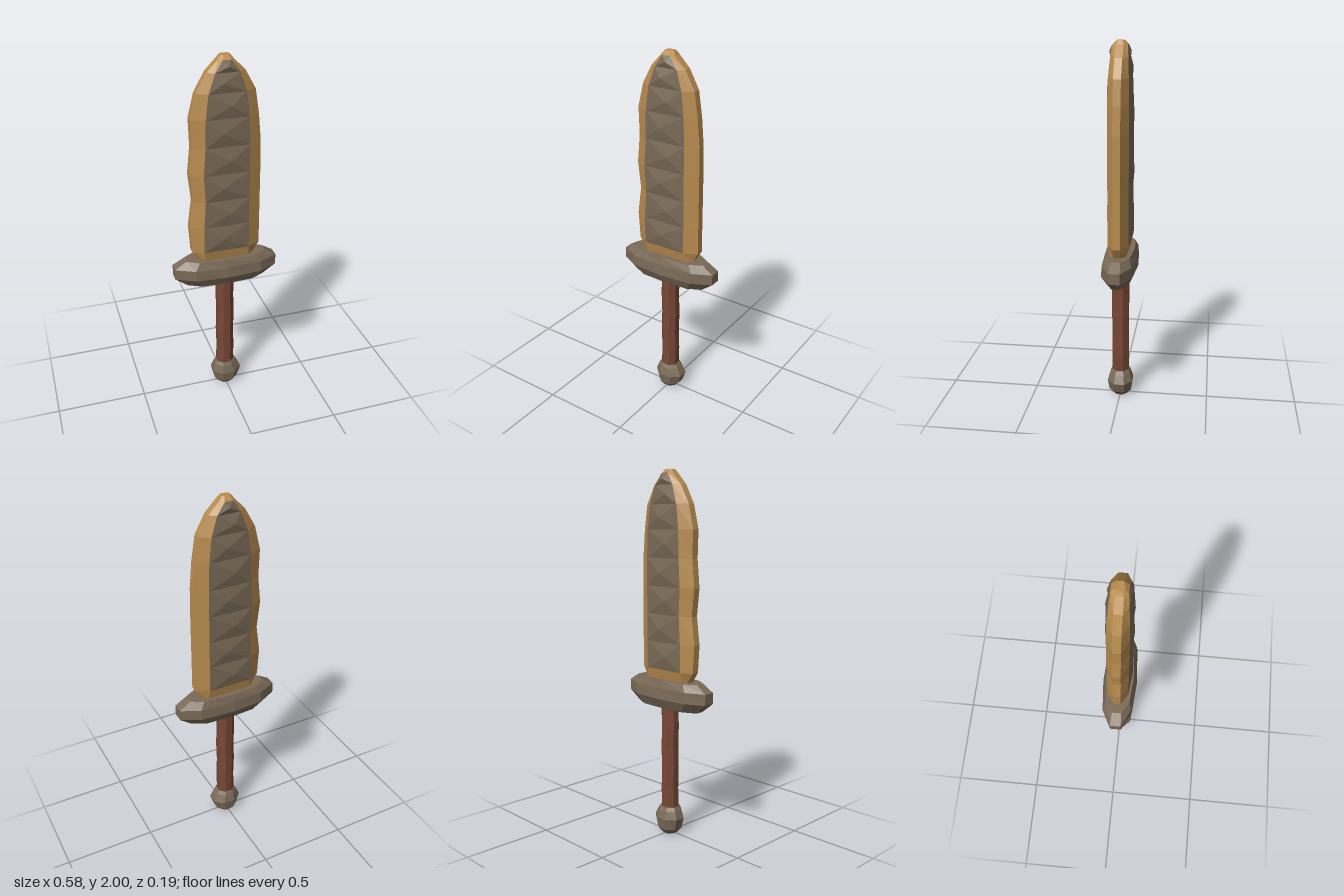
import * as THREE from 'three';

const mat = (name, color, side = THREE.FrontSide) => {
  const m = new THREE.MeshStandardMaterial({ color, side, flatShading: true });
  m.name = name;
  return m;
};

// Flat-shaded mesh from a list of triangles, each three [x, y, z] corners
function facets(name, tris, material) {
  const g = new THREE.BufferGeometry();
  g.setAttribute('position', new THREE.Float32BufferAttribute(tris.flat(2), 3));
  g.computeVertexNormals();
  const mesh = new THREE.Mesh(g, material);
  mesh.name = name;
  return mesh;
}

// Skin between stacked rings (points run from +x towards +z), capped at both ends
function loft(rings, skip = () => false) {
  const tris = [];
  const n = rings[0].length;
  for (let i = 0; i < rings.length - 1; i++) {
    for (let j = 0; j < n; j++) {
      if (skip(i, j)) continue;
      const k = (j + 1) % n;
      const [a, b, c, d] = [rings[i][j], rings[i][k], rings[i + 1][k], rings[i + 1][j]];
      tris.push([a, d, c], [a, c, b]);
    }
  }
  const low = rings[0], high = rings[rings.length - 1];
  for (let j = 1; j < n - 1; j++) {
    tris.push([low[0], low[j], low[j + 1]], [high[0], high[j + 1], high[j]]);
  }
  return tris;
}

// Eight-sided ring with flat sides facing the axes
function octagon(y, rx, rz, cx = 0) {
  return Array.from({ length: 8 }, (_, i) => {
    const a = (i + 0.5) * Math.PI / 4;
    return [cx + rx * Math.cos(a) / 0.924, y, rz * Math.sin(a) / 0.924];
  });
}

export function createModel() {
  const gold = mat('bladeEdgeGold', 0xb88c4f);
  const stone = mat('stoneBrown', 0x7a6a57);
  const leather = mat('gripRed', 0x784736);
  const model = new THREE.Group();
  model.name = 'dagger';

  // Blade stations: y, outer left, inner left, inner right, outer right, edge z, face z
  const stations = [
    [0.88, -0.15, -0.125, 0.125, 0.155, 0.02, 0.045],
    [0.94, -0.19, -0.13, 0.12, 0.19, 0.02, 0.057],
    [1.09, -0.20, -0.13, 0.12, 0.19, 0.02, 0.057],
    [1.24, -0.18, -0.12, 0.12, 0.19, 0.02, 0.056],
    [1.39, -0.197, -0.128, 0.12, 0.19, 0.02, 0.057],
    [1.54, -0.182, -0.118, 0.12, 0.188, 0.02, 0.056],
    [1.69, -0.187, -0.115, 0.115, 0.175, 0.02, 0.056],
    [1.82, -0.155, -0.098, 0.10, 0.155, 0.02, 0.053],
    [1.92, -0.098, -0.062, 0.066, 0.10, 0.02, 0.046],
    [1.98, -0.04, -0.022, 0.022, 0.04, 0.02, 0.04],
    [2.0, -0.025, -0.015, 0.015, 0.025, 0.012, 0.02],
  ];
  const last = stations.length - 2;
  const bladeRings = stations.map(([y, ol, il, ir, or, e, f]) => [
    [or, y, e], [ir, y, f], [il, y, f], [ol, y, e],
    [ol, y, -e], [il, y, -f], [ir, y, -f], [or, y, -e],
  ]);
  // Golden rim, left open where the stone faces sit
  model.add(facets('bladeRim', loft(bladeRings,
    (i, j) => (j === 1 || j === 5) && i >= 1 && i < last), gold));

  // Chipped stone faces: one off-centre raised point per row
  for (const s of [1, -1]) {
    const tris = [];
    for (let i = 1; i < last; i++) {
      const [y0, , l0, r0, , , f0] = stations[i];
      const [y1, , l1, r1, , , f1] = stations[i + 1];
      const peak = [(i % 2 ? -0.025 : 0.02) * (r1 > 0.05 ? 1 : 0.3),
        (y0 + y1) / 2, s * ((f0 + f1) / 2 + 0.014)];
      const c = [[l0, y0, s * f0], [r0, y0, s * f0], [r1, y1, s * f1], [l1, y1, s * f1]];
      c.forEach((p, k) => {
        const q = c[(k + 1) % 4];
        tris.push(s > 0 ? [p, q, peak] : [q, p, peak]);
      });
    }
    model.add(facets(s > 0 ? 'frontStoneFace' : 'backStoneFace', tris, stone));
  }

  // Guard: ten-sided slab with bevelled top and bottom
  // Rows: y, end x, end z, shoulder x, shoulder z, middle z
  const guardRings = [
    [0.73, 0.22, 0.022, 0.145, 0.06, 0.068],
    [0.785, 0.29, 0.03, 0.185, 0.083, 0.096],
    [0.845, 0.29, 0.03, 0.185, 0.08, 0.09],
    [0.885, 0.225, 0.025, 0.16, 0.065, 0.078],
  ].map(([y, ex, ez, sx, sz, mz]) => [
    [ex, y, ez], [sx, y, sz], [-0.012, y, mz], [-sx, y, sz], [-ex, y, ez],
    [-ex, y, -ez], [-sx, y, -sz], [-0.012, y, -mz], [sx, y, -sz], [ex, y, -ez],
  ]);
  model.add(facets('guard', loft(guardRings), stone));

  // Grip with a slightly uneven line
  const gripRings = [0.14, 0.26, 0.38, 0.5, 0.62, 0.75]
    .map((y, i) => octagon(y, 0.047, 0.046, i % 2 ? 0.002 : -0.002));
  model.add(facets('grip', loft(gripRings), leather));

  // Pommel
  const pommelRings = [
    octagon(0, 0.04, 0.04), octagon(0.03, 0.066, 0.062, 0.002),
    octagon(0.09, 0.084, 0.07, 0.005), octagon(0.135, 0.064, 0.057, 0.001),
    octagon(0.155, 0.052, 0.046),
  ];
  model.add(facets('pommel', loft(pommelRings), stone));

  return model;
}
